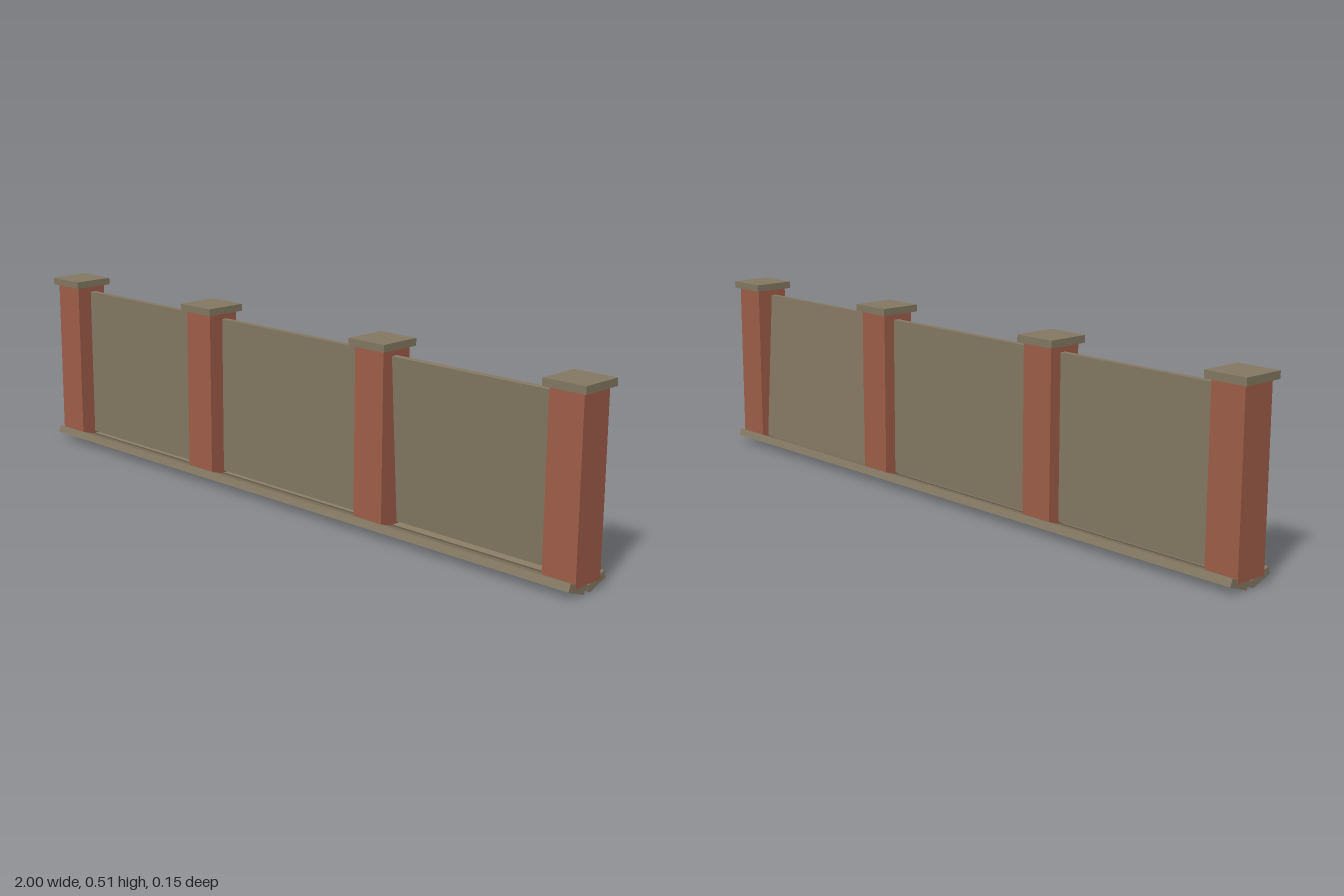
import * as THREE from 'three';

export function createModel() {
  const model = new THREE.Group();
  model.name = 'wall';

  const stone = new THREE.MeshStandardMaterial({ color: 0x857963 });
  stone.name = 'stone';
  const brick = new THREE.MeshStandardMaterial({ color: 0xa05e4a });
  brick.name = 'brick';

  function box(name, material, size, position, tilt = 0) {
    const mesh = new THREE.Mesh(new THREE.BoxGeometry(...size), material);
    mesh.name = name;
    mesh.position.set(...position);
    mesh.rotation.x = tilt;
    model.add(mesh);
  }

  // Square posts with flat caps
  const postX = [-0.939, -0.33, 0.328, 0.939];
  const postWidth = 0.098;
  for (const x of postX) {
    box('post', brick, [postWidth, 0.468, 0.098], [x, 0.258, 0]);
    box('postCap', stone, [0.122, 0.02, 0.122], [x, 0.502, 0]);
  }

  // Thin panels between the posts; the last one leans forward
  const tilts = [0, 0, 0.0635];
  tilts.forEach((tilt, i) => {
    const x = (postX[i] + postX[i + 1]) / 2;
    const width = postX[i + 1] - postX[i] - postWidth + 0.01;
    box('panel', stone, [width, 0.445, 0.018], [x, 0.2525, -0.006], tilt);
  });

  // Two base slabs, raised along their outer edges
  for (const side of [1, -1]) {
    box('baseSlab', stone, [1.972, 0.021, 0.065], [0, 0.021, side * 0.039], -side * 0.335);
  }

  return model;
}
